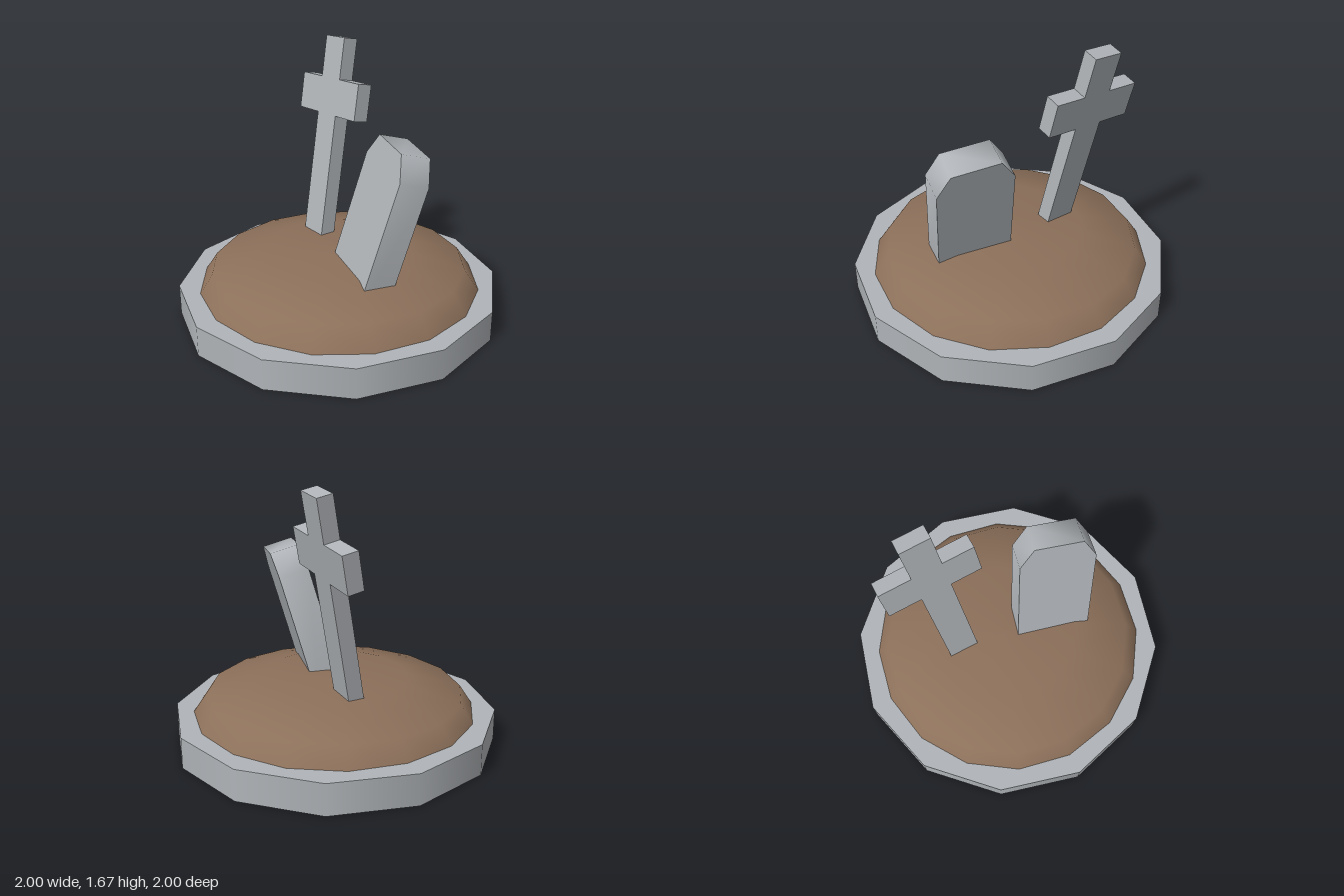
import * as THREE from 'three';
import { toCreasedNormals } from 'three/addons/utils/BufferGeometryUtils.js';

// Extruded slab whose front face lies in the local plane z = 0
function slab(points, depth, crease, material) {
  const shape = new THREE.Shape(points.map(([x, y]) => new THREE.Vector2(x, y)));
  const geometry = new THREE.ExtrudeGeometry(shape, { depth, bevelEnabled: false });
  geometry.translate(0, 0, -depth);
  return new THREE.Mesh(toCreasedNormals(geometry, crease), material);
}

// Lean a mesh: its local origin, right direction and up direction
function place(mesh, origin, right, up) {
  const y = new THREE.Vector3(...up).normalize();
  const z = new THREE.Vector3(...right).cross(y).normalize();
  const x = new THREE.Vector3().crossVectors(y, z);
  mesh.quaternion.setFromRotationMatrix(new THREE.Matrix4().makeBasis(x, y, z));
  mesh.position.set(...origin);
}

export function createModel() {
  const group = new THREE.Group();
  const stone = new THREE.MeshStandardMaterial({ name: 'grey stone', color: 0xb0b4b8 });
  const soil = new THREE.MeshStandardMaterial({ name: 'brown soil', color: 0x8c705a });
  const turn = -0.157;

  // Twelve-sided stone base
  const base = new THREE.Mesh(new THREE.CylinderGeometry(1.012, 1.012, 0.195, 12), stone);
  base.name = 'base';
  base.position.y = 0.0975;
  base.rotation.y = turn;
  group.add(base);

  // Low domed mound, slightly tilted
  const profile = [[0.9, 0.17], [0.8, 0.32], [0.455, 0.411], [0, 0.424]];
  const mound = new THREE.Mesh(
    new THREE.LatheGeometry(profile.map(([r, y]) => new THREE.Vector2(r, y)), 16, turn), soil);
  mound.name = 'mound';
  mound.rotation.z = 0.013;
  group.add(mound);

  // Leaning cross
  const cross = slab([
    [0, -0.1], [0.193, -0.1], [0.193, 0.775], [0.393, 0.775], [0.393, 1.007], [0.193, 1.007],
    [0.193, 1.27], [0, 1.27], [0, 1.007], [-0.208, 1.007], [-0.208, 0.775], [0, 0.775],
  ], 0.1, 0.5, stone);
  cross.name = 'cross';
  place(cross, [-0.4, 0.41, -0.08], [0.984, 0.07, 0.155], [-0.047, 0.976, -0.209]);
  group.add(cross);

  // Leaning headstone with softly shaded clipped corners
  const headstone = slab([
    [0, -0.15], [0.476, -0.15], [0.476, 0.7], [0.39, 0.846], [0.086, 0.846], [0, 0.7],
  ], 0.19, 1.15, stone);
  headstone.name = 'headstone';
  place(headstone, [0.035, 0.41, 0.07], [0.914, -0.074, 0.399], [0.17, 0.96, -0.222]);
  group.add(headstone);

  return group;
}
